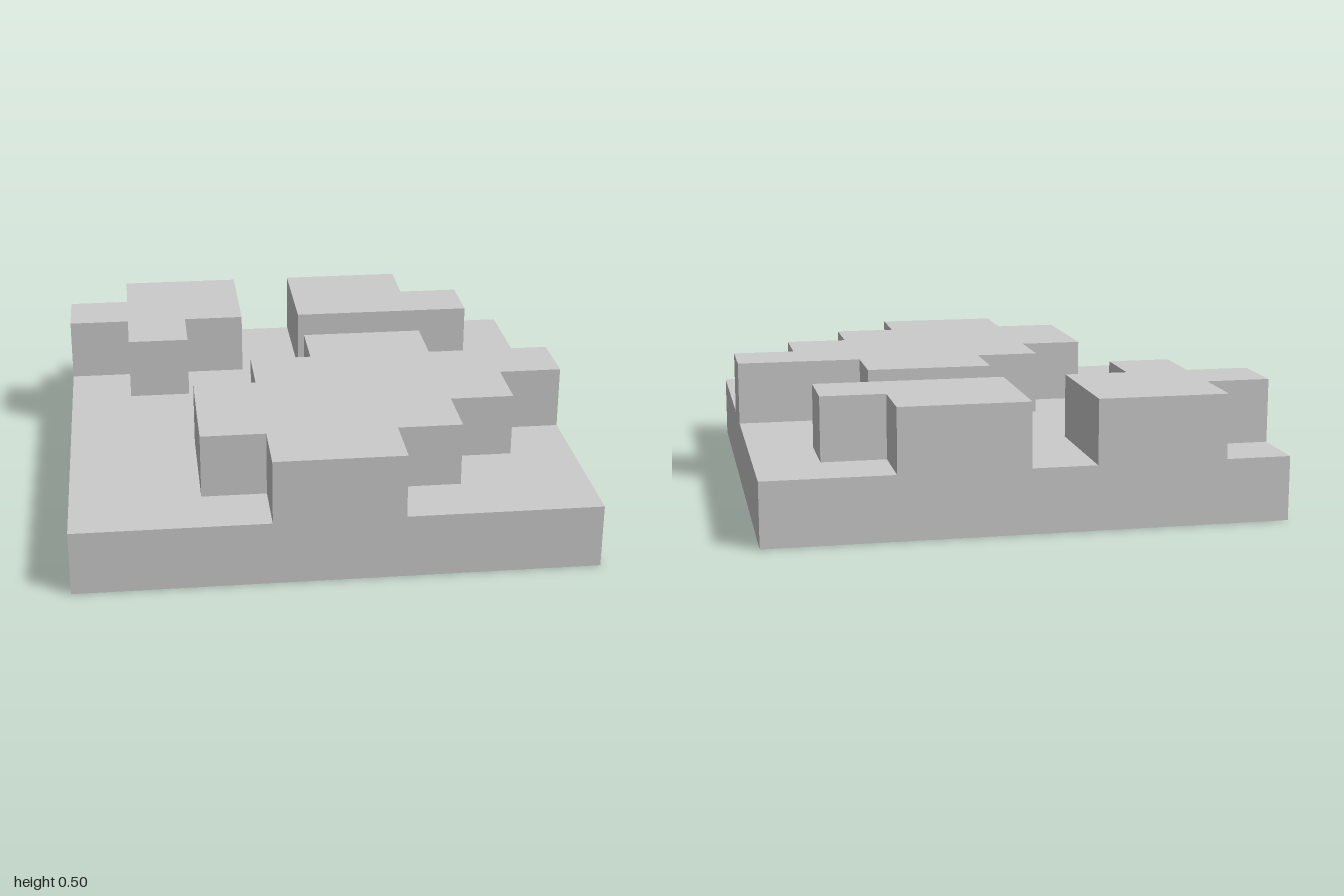
import * as THREE from 'three';

const CELL = 0.25; // everything sits on an 8 x 8 grid of square cells

// Outlines of the raised plateaus as [x, z] grid corners
const plateaus = {
  backRightPlateau: [[-3, -4], [-1, -4], [-1, -2], [-2, -2], [-2, -1], [-3, -1],
    [-3, -2], [-4, -2], [-4, -3], [-3, -3]],
  backLeftPlateau: [[0, -4], [2, -4], [2, -3], [3, -3], [3, -2], [0, -2]],
  frontPlateau: [[0, -1], [2, -1], [2, 0], [4, 0], [4, 1], [3, 1], [3, 2], [2, 2], [2, 3],
    [1, 3], [1, 4], [-1, 4], [-1, 3], [-2, 3], [-2, 1], [-1, 1], [-1, 0], [0, 0]],
};

export function createModel() {
  const group = new THREE.Group();
  group.name = 'terrainTile';
  const material = new THREE.MeshStandardMaterial({ color: 0xcccccc, flatShading: true });

  // Ground slab
  const base = new THREE.Mesh(new THREE.BoxGeometry(8 * CELL, CELL, 8 * CELL), material);
  base.name = 'groundSlab';
  base.position.y = CELL / 2;
  group.add(base);

  // Stepped plateaus, one cell high, standing on the slab
  for (const [name, outline] of Object.entries(plateaus)) {
    const shape = new THREE.Shape(outline.map(([x, z]) => new THREE.Vector2(x * CELL, -z * CELL)));
    const geometry = new THREE.ExtrudeGeometry(shape, { depth: CELL, bevelEnabled: false });
    geometry.rotateX(-Math.PI / 2);
    const plateau = new THREE.Mesh(geometry, material);
    plateau.name = name;
    plateau.position.y = CELL;
    group.add(plateau);
  }
  return group;
}
